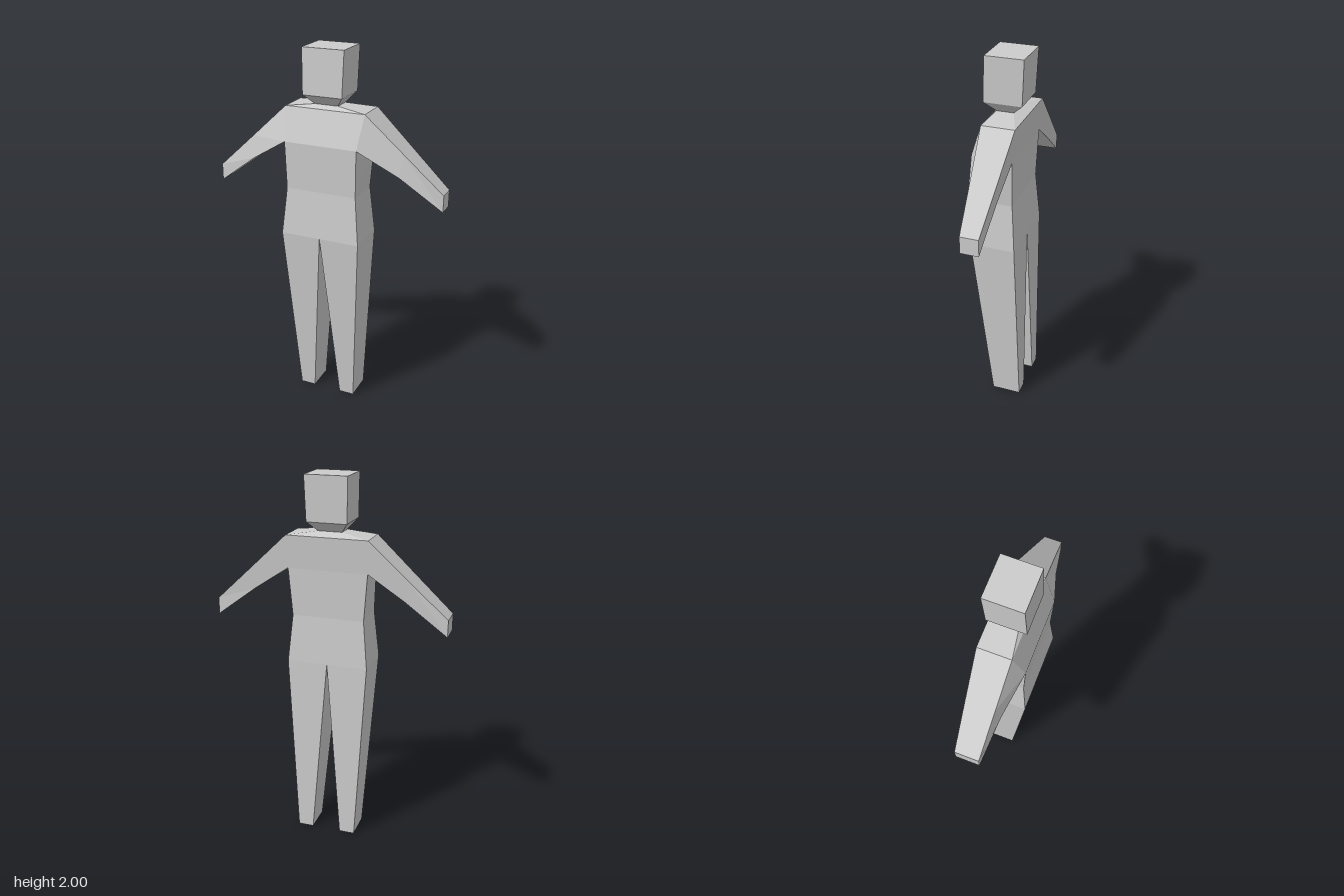
import * as THREE from 'three';

const material = new THREE.MeshStandardMaterial({ color: 0xcccccc, flatShading: true });

// Capped loft through four-cornered rings, corners counter-clockwise seen from the far end
function loft(name, rings) {
  const pos = [];
  const quad = (a, b, c, d) => pos.push(...a, ...b, ...c, ...a, ...c, ...d);
  for (let i = 0; i < rings.length - 1; i++) {
    for (let j = 0; j < 4; j++) {
      const k = (j + 1) % 4;
      quad(rings[i][j], rings[i][k], rings[i + 1][k], rings[i + 1][j]);
    }
  }
  quad(...[...rings[0]].reverse());
  quad(...rings[rings.length - 1]);
  const geometry = new THREE.BufferGeometry();
  geometry.setAttribute('position', new THREE.Float32BufferAttribute(pos, 3));
  geometry.computeVertexNormals();
  const mesh = new THREE.Mesh(geometry, material);
  mesh.name = name;
  return mesh;
}

// Horizontal ring between x0 and x1, from front to back
const level = (y, x0, x1, front, back) =>
  [[x0, y, front], [x1, y, front], [x1, y, back], [x0, y, back]];
// Symmetric ring, with an optional different half width at the back
const ring = (y, w, front, back, wBack = w) =>
  [[-w, y, front], [w, y, front], [wBack, y, back], [-wBack, y, back]];

// Upright arm ring: bottom front, bottom back, top back, top front
const armRing = (xLow, xTop, yLow, yTop, frontLow, backLow, backTop, frontTop, xLowBack = xLow) =>
  [[xLow, yLow, frontLow], [xLowBack, yLow, backLow], [xTop, yTop, backTop], [xTop, yTop, frontTop]];

function arm(name, side, handFront) {
  const midFront = (0.06 + handFront) / 2;
  const rings = [
    armRing(0.2, 0.22, 1.515, 1.69, 0.12, -0.1, -0.115, 0.06, 0.215),
    armRing(0.41, 0.42, 1.385, 1.505, midFront + 0.022, -0.09, -0.1, midFront),
    armRing(0.632, 0.632, 1.22, 1.31, handFront, -0.083, -0.083, handFront),
  ];
  if (side > 0) return loft(name, rings);
  return loft(name, rings.map(r => r.map(([x, y, z]) => [-x, y, z]).reverse()));
}

export function createModel() {
  const model = new THREE.Group();
  model.name = 'figure';

  // Hips, waist, chest, shoulders and sloping neck base
  model.add(loft('torso', [
    ring(1.005, 0.22, 0.13, -0.112),
    ring(1.26, 0.195, 0.11, -0.093),
    ring(1.515, 0.2, 0.12, -0.1, 0.215),
    ring(1.69, 0.22, 0.06, -0.115),
    ring(1.71, 0.065, 0.036, -0.055),
  ]));

  // Neck flaring out into the head
  model.add(loft('neck', [ring(1.71, 0.065, 0.036, -0.055), ring(1.763, 0.108, 0.09, -0.112)]));
  model.add(loft('head', [ring(1.763, 0.108, 0.09, -0.112), ring(2, 0.114, 0.08, -0.122)]));

  model.add(arm('leftArm', 1, 0.013), arm('rightArm', -1, 0.044));

  // Legs tapering down to flat feet
  model.add(loft('leftLeg', [level(0, 0.08, 0.165, 0.03, -0.13), level(1.005, 0, 0.22, 0.13, -0.112)]));
  model.add(loft('rightLeg', [level(0, -0.165, -0.08, 0.03, -0.13), level(1.005, -0.22, 0, 0.13, -0.112)]));

  return model;
}
